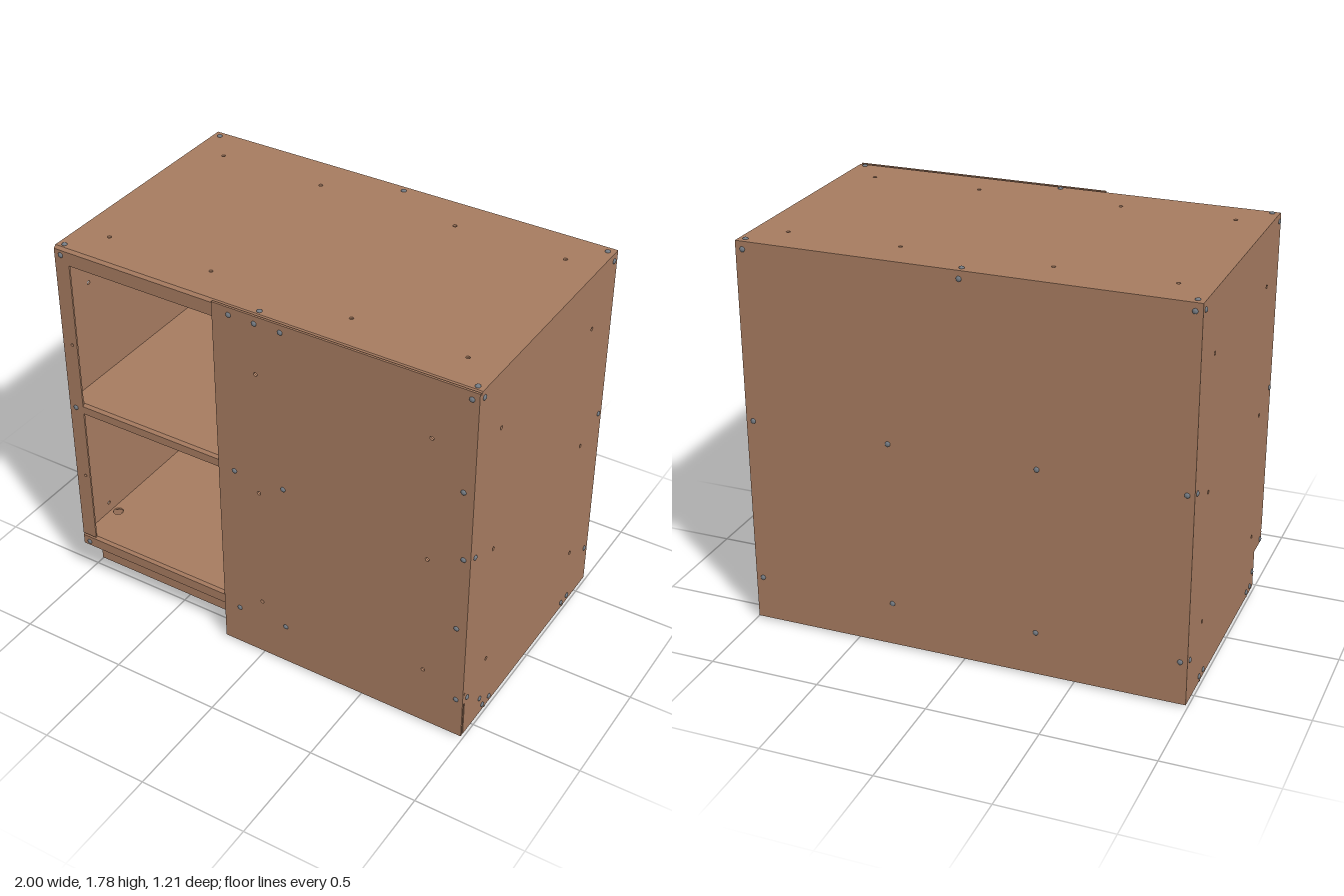
import * as THREE from 'three';

const T = 0.008;                       // sheet thickness
const W = 0.992, BACK = -0.597, FRONT = 0.587, TOP = 1.775, BASE = 0.01;

export function createModel() {
  const model = new THREE.Group();
  const mat = (name, color) => {
    const m = new THREE.MeshStandardMaterial({ color });
    m.name = name;
    return m;
  };
  const brown = mat('brown panel', 0xa67b60);
  const steel = mat('steel screw', 0x737a82);
  const dark = mat('dark foot', 0x454b52);

  const add = (name, geo, material, x = 0, y = 0, z = 0, parent = model) => {
    const m = new THREE.Mesh(geo, material);
    m.name = name;
    m.position.set(x, y, z);
    parent.add(m);
    return m;
  };
  const box = (name, x0, x1, y0, y1, z0, z1, material = brown) =>
    add(name, new THREE.BoxGeometry(x1 - x0, y1 - y0, z1 - z0), material,
      (x0 + x1) / 2, (y0 + y1) / 2, (z0 + z1) / 2);

  // Sheet cut from an outline with round holes [u, v, radius]; its normal runs along axis.
  // z: outline is (x, y) from z = at forward; x: (z, y) and y: (x, z), both from at downward.
  const sheet = (name, axis, at, outline, holes = [], depth = T, slot = null) => {
    const s = new THREE.Shape(outline.map(([u, v]) => new THREE.Vector2(u, v)));
    for (const [u, v, r = 0.009] of holes) {
      const h = new THREE.Path();
      h.absarc(u, v, r, 0, Math.PI * 2, true);
      s.holes.push(h);
    }
    if (slot) s.holes.push(new THREE.Path(slot.map(([u, v]) => new THREE.Vector2(u, v))));
    const g = new THREE.ExtrudeGeometry(s, { depth, bevelEnabled: false, curveSegments: 6 });
    if (axis === 'x') g.rotateY(-Math.PI / 2);
    if (axis === 'y') g.rotateX(Math.PI / 2);
    return add(name, g, brown, axis === 'x' ? at : 0, axis === 'y' ? at : 0, axis === 'z' ? at : 0);
  };
  const rect = (u0, u1, v0, v1) => [[u0, v0], [u1, v0], [u1, v1], [u0, v1]];
  const grid = (us, vs, r) => us.flatMap(u => vs.map(v => [u, v, r]));

  // Side walls; the right one is notched for the toe space
  const sideHoles = grid([-0.4, 0.4], [0.3, 0.9, 1.5]);
  const zb = BACK + T, zf = FRONT - T;
  sheet('leftWall', 'x', W, rect(zb, zf, BASE, TOP - T), sideHoles);
  sheet('rightWall', 'x', -W + T,
    [[zb, BASE], [0.462, BASE], [0.462, 0.19], [zf, 0.19], [zf, TOP - T], [zb, TOP - T]], sideHoles);

  // Back wall and front panel
  sheet('backWall', 'z', BACK, rect(-W, W, BASE, TOP - T));
  sheet('frontPanel', 'z', FRONT, rect(-0.2, W, BASE, TOP), grid([0, 0.8], [0.3, 0.9, 1.5]), 0.01);

  // Front stiles folded from the side walls
  for (const s of [-1, 1]) {
    const [a, b] = s < 0 ? [-W, -0.92] : [0.92, W];
    sheet('frontStile', 'z', zf, rect(a, b, 0.25, 1.70), s < 0 ? grid([-0.945], [0.6, 1.3], 0.007) : []);
  }

  // Trays: a deck with a bent front edge and turned-down flanges
  const tray = (name, y, h, halfDeck, halfRail, z0, holes) => {
    const c = 0.012, zd = FRONT - c, i = W - T;
    sheet(name + 'Deck', 'y', y, rect(-halfDeck, halfDeck, z0, zd), holes);
    sheet(name + 'FrontRail', 'x', halfRail, [[FRONT, y - h], [FRONT, y - c], [zd, y], [zd, y - T],
      [zf, y - c - 0.003], [zf, y - h]], [], halfRail * 2);
    box(name + 'BackFlange', -i, i, y - h, y - T, zb, zb + T);
    for (const s of [-1, 1]) {
      const a = s < 0 ? -i : i - T;
      box(name + 'SideFlange', a, a + T, y - h, y - T, zb + T, zd - T);
    }
  };
  tray('top', TOP, 0.075, W, W, BACK, grid([-0.84, -0.33, 0.33, 0.84], [-0.42, 0.41]));
  tray('shelf', 1.0, 0.05, W - T, 0.92, zb, []);
  tray('floor', 0.25, 0.06, W - T, W, zb, grid([-0.95, 0.95], [-0.38, 0.38], 0.024));

  // Recessed toe kick with folded edges
  sheet('toeKick', 'z', 0.462, rect(-W, W - T, 0.015, 0.187), [], T,
    rect(-0.967, -0.953, 0.13, 0.16));
  box('toeKickTopFold', -W + T, W - T, 0.179, 0.187, 0.42, 0.462);
  box('toeKickBottomFold', -W + T, W - T, 0.015, 0.023, 0.42, 0.462);

  // Levelling feet on angle brackets
  const padGeo = new THREE.CylinderGeometry(0.036, 0.042, 0.016, 16);
  const hubGeo = new THREE.CylinderGeometry(0.02, 0.03, 0.022, 12);
  const rodGeo = new THREE.CylinderGeometry(0.01, 0.01, 0.11, 10);
  for (const sx of [-1, 1]) for (const z of [-0.38, 0.38]) {
    const foot = new THREE.Group();
    foot.name = 'levellingFoot';
    foot.position.set(sx * 0.948, 0, z);
    add('footPad', padGeo, dark, 0, 0.008, 0, foot);
    add('footHub', hubGeo, dark, 0, 0.027, 0, foot);
    add('footRod', rodGeo, steel, 0, 0.085, 0, foot);
    add('bracketPlate', new THREE.BoxGeometry(0.006, 0.05, 0.1), brown, sx * 0.033, 0.045, 0, foot);
    add('bracketLedge', new THREE.BoxGeometry(0.066, 0.007, 0.1), brown, 0, 0.07, 0, foot);
    model.add(foot);
  }

  // Domed screw heads pointing along a normal
  const headGeo = new THREE.SphereGeometry(0.012, 12, 4, 0, Math.PI * 2, 0, Math.PI / 2);
  headGeo.scale(1, 0.65, 1);
  const up = new THREE.Vector3(0, 1, 0);
  const screws = (name, normal, points) => {
    const n = new THREE.Vector3(...normal);
    for (const p of points) add(name, headGeo, steel, ...p).quaternion.setFromUnitVectors(up, n);
  };
  const rows = [0.21, 0.97, 1.74];
  const panelZ = FRONT + 0.01;
  screws('frontScrew', [0, 0, 1], [
    ...grid([-0.96], rows, FRONT), ...grid([-0.12, 0.12, 0.96], rows, panelZ),
    [0, 1.74, panelZ], [0.945, 1.3, panelZ], [0.945, 0.6, panelZ], [-0.96, 0.1, 0.47]]);
  screws('backScrew', [0, 0, -1], [
    ...grid([-0.96, 0.96], rows, BACK), ...grid([-0.33, 0.33], [0.21, 0.97], BACK), [0, 1.74, BACK]]);
  screws('topScrew', [0, 1, 0], grid([-0.96, 0, 0.96], [-0.565, 0.555]).map(([x, z]) => [x, TOP, z]));
  const sideSpots = [...grid([-0.565, 0.56], rows), ...grid([-0.41, -0.35, 0.35, 0.41], [0.04]), [0.44, 0.1]];
  for (const s of [-1, 1])
    screws('sideScrew', [s, 0, 0], sideSpots.map(([z, y]) => [s * W, y, z]));

  return model;
}
